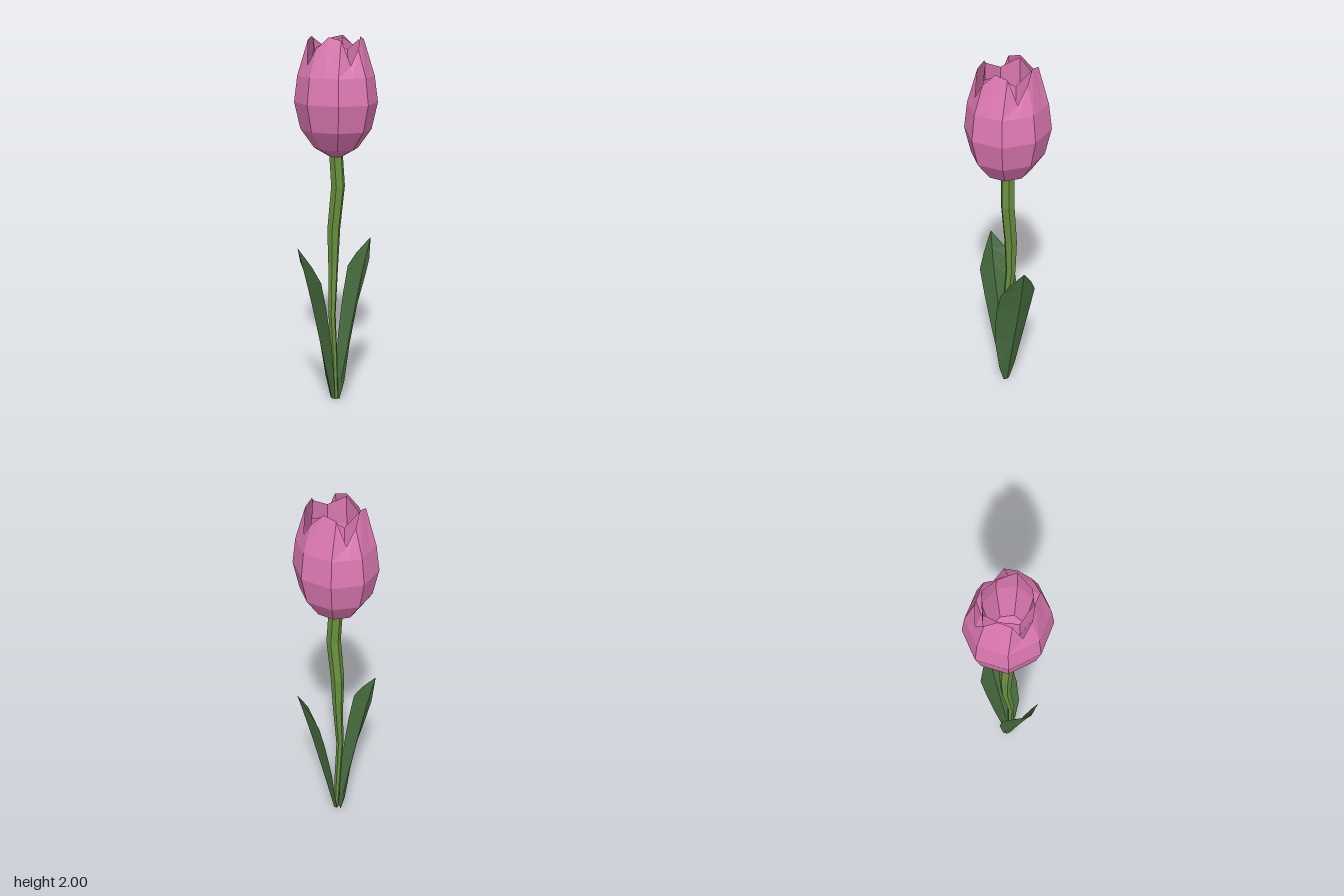
import * as THREE from 'three';

const material = (color) =>
  new THREE.MeshStandardMaterial({ color, flatShading: true, side: THREE.DoubleSide });

// Skin a list of cross-sections (bottom to top, equal point counts)
function loft(rows, closed) {
  const n = rows[0].length;
  const index = [];
  for (let i = 0; i < rows.length - 1; i++) {
    for (let j = 0; j < (closed ? n : n - 1); j++) {
      const a = i * n + j, b = i * n + ((j + 1) % n);
      index.push(a, b, b + n, a, b + n, a + n);
    }
  }
  const geometry = new THREE.BufferGeometry();
  geometry.setAttribute('position', new THREE.Float32BufferAttribute(rows.flat(2), 3));
  geometry.setIndex(index);
  geometry.computeVertexNormals();
  return geometry;
}

function part(name, geometry, mat) {
  const mesh = new THREE.Mesh(geometry, mat);
  mesh.name = name;
  return mesh;
}

const CX = 0.008;   // flower axis
const DEPTH = 1.09; // flower is a little deeper than wide
const polar = (deg, r, y) => {
  const a = THREE.MathUtils.degToRad(deg);
  return [CX + r * Math.sin(a), y, DEPTH * r * Math.cos(a)];
};

// Octagon sampled at 16 points: corners and side midpoints
const octagon = (r, y) => Array.from({ length: 16 }, (_, k) =>
  polar(k * 22.5, k % 2 ? r * Math.cos(Math.PI / 8) : r, y));

// Outer petals: faceted cup with a pinwheel rim of four tips and notches
function petalGeometry() {
  const rows = [[0, 1.38], [0.035, 1.38], [0.11, 1.425], [0.178, 1.525],
    [0.208, 1.665], [0.191, 1.8]].map(([r, y]) => octagon(r, y));
  const rim = [[0, 0.143, 1.94], [25, 0.122, 2], [52, 0.138, 1.985], [69, 0.155, 1.86]];
  rows.push(Array.from({ length: 16 }, (_, k) => {
    const [deg, r, y] = rim[k % 4];
    return polar(deg + 90 * Math.floor(k / 4), r, y);
  }));
  return loft(rows, true);
}

// Inner petals: eight-sided lining with a flat floor and a wavy top
function liningGeometry() {
  const ring = (r, yLow, yHigh) => Array.from({ length: 8 }, (_, k) =>
    polar(k * 45 + 25, r, k % 2 ? yLow : yHigh));
  return loft([ring(0, 1.6, 1.6), ring(0.085, 1.6, 1.6), ring(0.122, 1.84, 1.84),
    ring(0.117, 1.94, 1.99)], true);
}

// Stem: six-sided, gently winding and thickening upwards
function stemGeometry() {
  const path = [ // y, x, z, radius
    [0, 0.002, 0.005, 0.014], [0.25, -0.008, 0.003, 0.018], [0.5, -0.017, -0.005, 0.02],
    [0.78, 0.008, -0.02, 0.028], [0.98, 0.01, -0.018, 0.036],
    [1.22, 0.016, 0.008, 0.038], [1.4, 0.008, 0, 0.037]];
  return loft(path.map(([y, x, z, r]) => Array.from({ length: 6 }, (_, k) => {
    const a = (k * Math.PI) / 3;
    return [x + r * Math.sin(a), y, z + r * Math.cos(a)];
  })), true);
}

// Leaf: folded along its midrib, slightly twisted
function leafGeometry() {
  const rows = [ // y, front edge x z, midrib x z, back edge x z
    [0, 0.004, 0.03, 0.015, 0.01, 0.008, -0.01],
    [0.12, 0.008, 0.065, 0.04, 0.015, 0.035, -0.03],
    [0.35, 0.012, 0.1, 0.09, 0.025, 0.077, -0.05],
    [0.58, 0.052, 0.12, 0.141, 0.035, 0.128, -0.06],
    [0.73, 0.102, 0.13, 0.176, 0.045, 0.165, -0.06],
    [0.81, 0.15, 0.115, 0.194, 0.053, 0.185, -0.015],
    [0.91, 0.218, 0.063, 0.218, 0.063, 0.218, 0.063]];
  return loft(rows.map(([y, fx, fz, mx, mz, bx, bz]) =>
    [[fx, y, fz], [mx, y, mz], [bx, y, bz]]), false);
}

export function createModel() {
  const model = new THREE.Group();
  model.name = 'flower';
  const pink = material(0xdd78b2);
  const stemGreen = material(0x69903f);
  const leafGreen = material(0x476c3f);

  model.add(
    part('outerPetals', petalGeometry(), pink),
    part('innerPetals', liningGeometry(), pink),
    part('stem', stemGeometry(), stemGreen));

  // Two leaves, opposite each other
  const leaf = leafGeometry();
  ['leftLeaf', 'rightLeaf'].forEach((name, i) => {
    const mesh = part(name, leaf, leafGreen);
    mesh.rotation.y = i * Math.PI;
    model.add(mesh);
  });
  return model;
}
